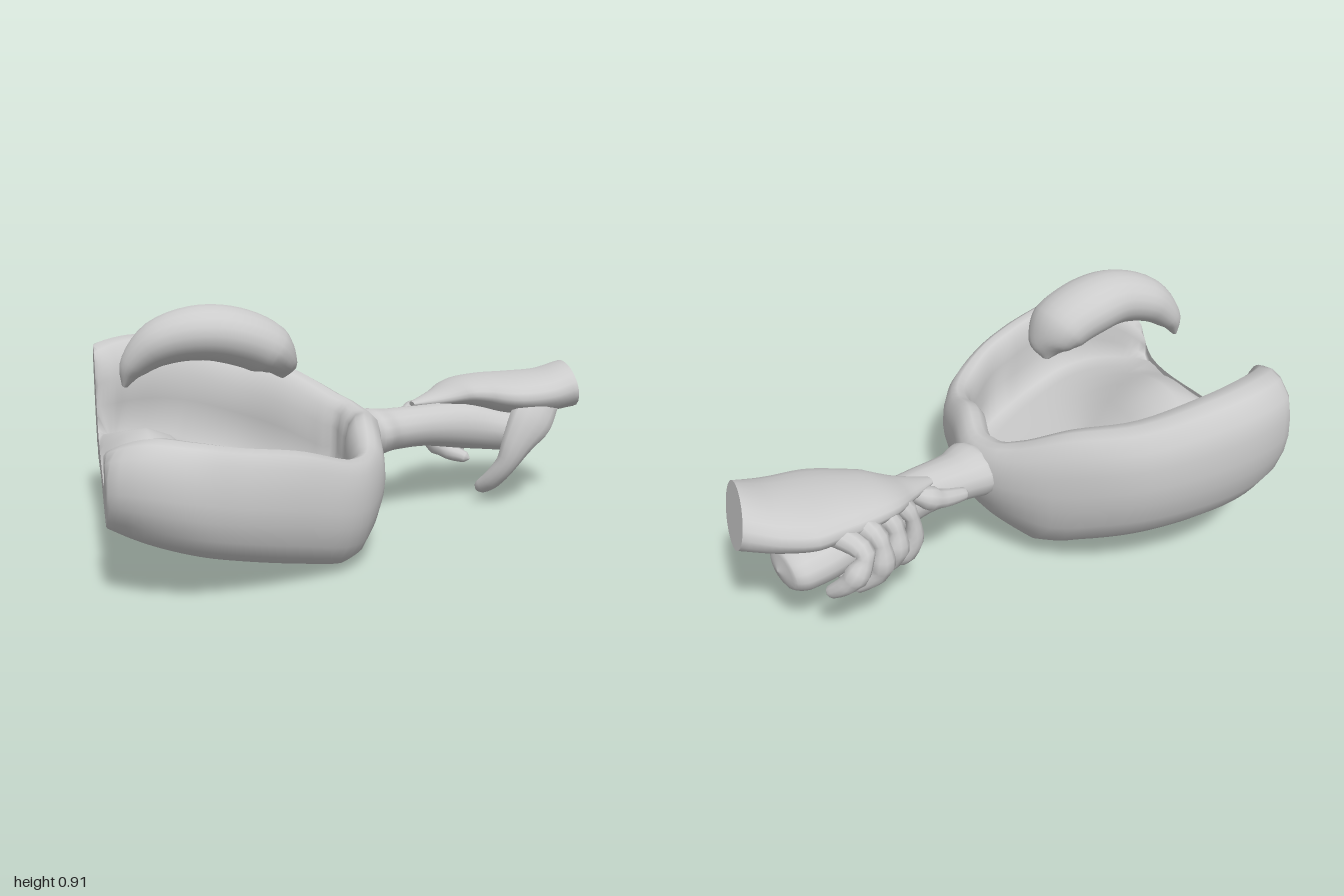
import * as THREE from 'three';

const material = new THREE.MeshStandardMaterial({ color: 0xcccccc });
const V = (x, y, z) => new THREE.Vector3(x, y, z);

// Skin a list of equally long closed rings (arrays of Vector3)
function skin(name, rings) {
  const n = rings[0].length, pos = [], idx = [];
  for (const ring of rings) for (const p of ring) pos.push(p.x, p.y, p.z);
  for (let j = 0; j < rings.length - 1; j++) {
    for (let i = 0; i < n; i++) {
      const a = j * n + i, b = j * n + (i + 1) % n;
      idx.push(a, a + n, b, b, a + n, b + n);
    }
  }
  const g = new THREE.BufferGeometry();
  g.setAttribute('position', new THREE.Float32BufferAttribute(pos, 3));
  g.setIndex(idx);
  g.computeVertexNormals();
  const mesh = new THREE.Mesh(g, material);
  mesh.name = name;
  return mesh;
}

// Elliptic loft along stations [x, y, z, height radius, width radius]
function loft(name, stations, ref = V(0, 1, 0), steps = 24, sides = 16) {
  const path = new THREE.CatmullRomCurve3(stations.map(s => V(s[0], s[1], s[2])));
  const radii = new THREE.CatmullRomCurve3(stations.map(s => V(s[3], s[4] ?? s[3], 0)));
  const rings = [];
  for (let j = 0; j <= steps; j++) {
    const c = path.getPoint(j / steps), r = radii.getPoint(j / steps);
    const t = path.getTangent(j / steps);
    const n = ref.clone().cross(t).normalize(), b = t.clone().cross(n);
    const ring = [];
    for (let i = 0; i < sides; i++) {
      const a = -i / sides * Math.PI * 2;
      ring.push(c.clone().addScaledVector(n, Math.cos(a) * Math.max(r.y, 0.003))
        .addScaledVector(b, Math.sin(a) * Math.max(r.x, 0.003)));
    }
    const cap = ring.map(() => c.clone());
    if (j === 0) rings.push(cap, ring.map(p => p.clone()));
    rings.push(ring);
    if (j === steps) rings.push(ring.map(p => p.clone()), cap);
  }
  return skin(name, rings);
}

// Pan: outline [x, z, rim height, rim width], cut flat at x = -1
function makePan() {
  const outline = [
    [-1.08, -0.58, 0.7, 0.22], [-0.92, -0.7, 0.725, 0.24], [-0.7, -0.75, 0.71, 0.23],
    [-0.4, -0.7, 0.64, 0.21], [-0.15, -0.54, 0.58, 0.18], [0.02, -0.36, 0.49, 0.15],
    [0.09, -0.2, 0.455, 0.15], [0.05, 0.04, 0.465, 0.14], [0, 0.27, 0.4, 0.13],
    [-0.12, 0.48, 0.4, 0.13], [-0.35, 0.62, 0.47, 0.13], [-0.58, 0.71, 0.51, 0.14],
    [-0.75, 0.745, 0.54, 0.17], [-0.92, 0.7, 0.55, 0.19], [-1.07, 0.56, 0.48, 0.17],
    [-1.15, 0.38, 0.34, 0.1], [-1.15, 0, 0.35, 0.1], [-1.15, -0.3, 0.42, 0.1],
    [-1.12, -0.45, 0.66, 0.14]];
  const edge = new THREE.CatmullRomCurve3(outline.map(p => V(p[0], p[2], p[1])), true);
  const widths = new THREE.CatmullRomCurve3(outline.map(p => V(p[3], 0, 0)), true);
  const bell = (v, centre, size) => Math.exp(-(((v - centre) / size) ** 2));
  // underside: slopes up to both ends, hollow in the middle of the cut edge
  const bottom = (x, z) => 0.25 * Math.max(0, -0.2 - x) + 0.7 * Math.max(0, x + 0.12)
    + 0.17 * Math.max(0, 0.2 - z) ** 2 * Math.min(1, 0.25 + Math.max(0, x + 1))
    + 0.06 * bell(x, -1.05, 0.3) * bell(z, -0.08, 0.3);
  // inside: low floor with a mound near the cut edge
  const mound = (x, z) => 0.12 + 0.13 * bell(x, -0.78, 0.17) * bell(z, -0.05, 0.33);
  // outer wall [scale, height], rim [inset in rim widths, height], floor scales
  const wall = [[0, 0], [0.35, 0], [0.6, 0], [0.75, 0.02], [0.84, 0.06], [0.91, 0.14],
    [0.96, 0.26], [0.99, 0.42], [1, 0.56], [0.995, 0.72], [0.975, 0.87]];
  const rim = [[0.3, 0.97], [0.5, 1], [0.74, 0.98], [0.94, 0.89], [1.03, 0.74], [1.05, 0.54]];
  const floor = [0.74, 0.62, 0.5, 0.37, 0.25, 0.12, 0];
  const count = 96, rings = [...wall, ...rim, ...floor].map(() => []);
  for (let i = 0; i < count; i++) {
    const e = edge.getPoint(i / count), w = widths.getPoint(i / count).x, h = e.y;
    const dx = e.x + 0.5, dz = e.z, len = Math.hypot(dx, dz);
    let row = 0;
    const put = (s, height) => {
      const x = Math.max(-1, -0.5 + dx * s), z = dz * s;
      rings[row++].push(V(x, height(Math.min(bottom(x, z), h - 0.08), x, z), z));
    };
    for (const [s, f] of wall) put(s, b => b + (h - b) * f);
    for (const [k, f] of rim) put(1 - k * w / len, b => b + (h - b) * f);
    for (const s of floor) {
      put(s, (b, x, z) => Math.min(b + mound(x, z), s > 0.7 ? h - 0.01 : 1));
    }
  }
  return skin('pan', rings);
}

export function createModel() {
  const model = new THREE.Group();
  model.add(makePan());

  model.add(loft('handle', [
    [0.02, 0.35, -0.2, 0.07, 0.08], [0.07, 0.35, -0.22, 0.095, 0.13], [0.15, 0.35, -0.25, 0.085, 0.105],
    [0.3, 0.35, -0.29, 0.085, 0.09], [0.5, 0.33, -0.36, 0.1, 0.1], [0.7, 0.29, -0.42, 0.09, 0.125],
    [0.8, 0.28, -0.445, 0.085, 0.125], [0.85, 0.275, -0.455, 0.065, 0.095], [0.87, 0.275, -0.46, 0, 0]], undefined, 40));

  // Floating curved piece above the pan
  model.add(loft('floatingPiece', [
    [-0.905, 0.62, 0.03, 0.01, 0.02], [-0.875, 0.69, 0.035, 0.05, 0.065], [-0.78, 0.775, 0.05, 0.085, 0.105],
    [-0.64, 0.81, 0.06, 0.1, 0.125], [-0.5, 0.79, 0.045, 0.105, 0.137], [-0.39, 0.74, 0.03, 0.1, 0.13],
    [-0.34, 0.68, 0.015, 0.06, 0.09], [-0.325, 0.625, 0, 0.005, 0.01]], undefined, 32, 20));

  // Hand gripping the handle
  const hand = new THREE.Group();
  hand.name = 'hand';
  hand.add(loft('palmAndWrist', [
    [0.28, 0.43, -0.35, 0.01, 0.02], [0.4, 0.445, -0.385, 0.035, 0.08], [0.5, 0.465, -0.41, 0.055, 0.145],
    [0.6, 0.465, -0.415, 0.07, 0.18], [0.73, 0.455, -0.4, 0.085, 0.215], [0.86, 0.46, -0.39, 0.09, 0.19],
    [0.98, 0.485, -0.385, 0.1, 0.152]], undefined, 30, 20));
  hand.add(loft('thumb', [
    [0.83, 0.44, -0.29, 0.05, 0.09], [0.77, 0.37, -0.24, 0.055, 0.1], [0.7, 0.27, -0.22, 0.048, 0.07],
    [0.655, 0.18, -0.23, 0.04, 0.045], [0.61, 0.105, -0.275, 0.036, 0.04], [0.58, 0.065, -0.32, 0.028, 0.032],
    [0.57, 0.045, -0.345, 0.005, 0.005]], V(0, 0, 1), 24, 12));
  const fingers = [
    [[0.52, 0.47, -0.37], [0.38, 0.43, -0.4], [0.27, 0.38, -0.4], [0.16, 0.355, -0.37]],
    [[0.52, 0.48, -0.42], [0.41, 0.42, -0.48], [0.39, 0.29, -0.48], [0.45, 0.21, -0.44], [0.53, 0.18, -0.39]],
    [[0.58, 0.48, -0.46], [0.48, 0.42, -0.54], [0.48, 0.3, -0.55], [0.54, 0.2, -0.49]],
    [[0.64, 0.47, -0.5], [0.55, 0.42, -0.6], [0.55, 0.3, -0.61], [0.62, 0.21, -0.56]],
    [[0.7, 0.45, -0.54], [0.61, 0.4, -0.64], [0.66, 0.31, -0.645], [0.72, 0.24, -0.59]]];
  fingers.forEach((points, k) => {
    const last = points.length - 1;
    const stations = points.map((p, i) => [...p, i === 0 ? 0.045 : i === last ? 0.024 : 0.036]);
    const tip = V(...points[last]).sub(V(...points[last - 1])).setLength(0.02).add(V(...points[last]));
    stations.push([tip.x, tip.y, tip.z, 0.004]);
    hand.add(loft('finger' + (k + 1), stations, k === 0 ? V(0, 1, 0) : V(1, 0, 0), 20, 10));
  });
  model.add(hand);
  return model;
}
